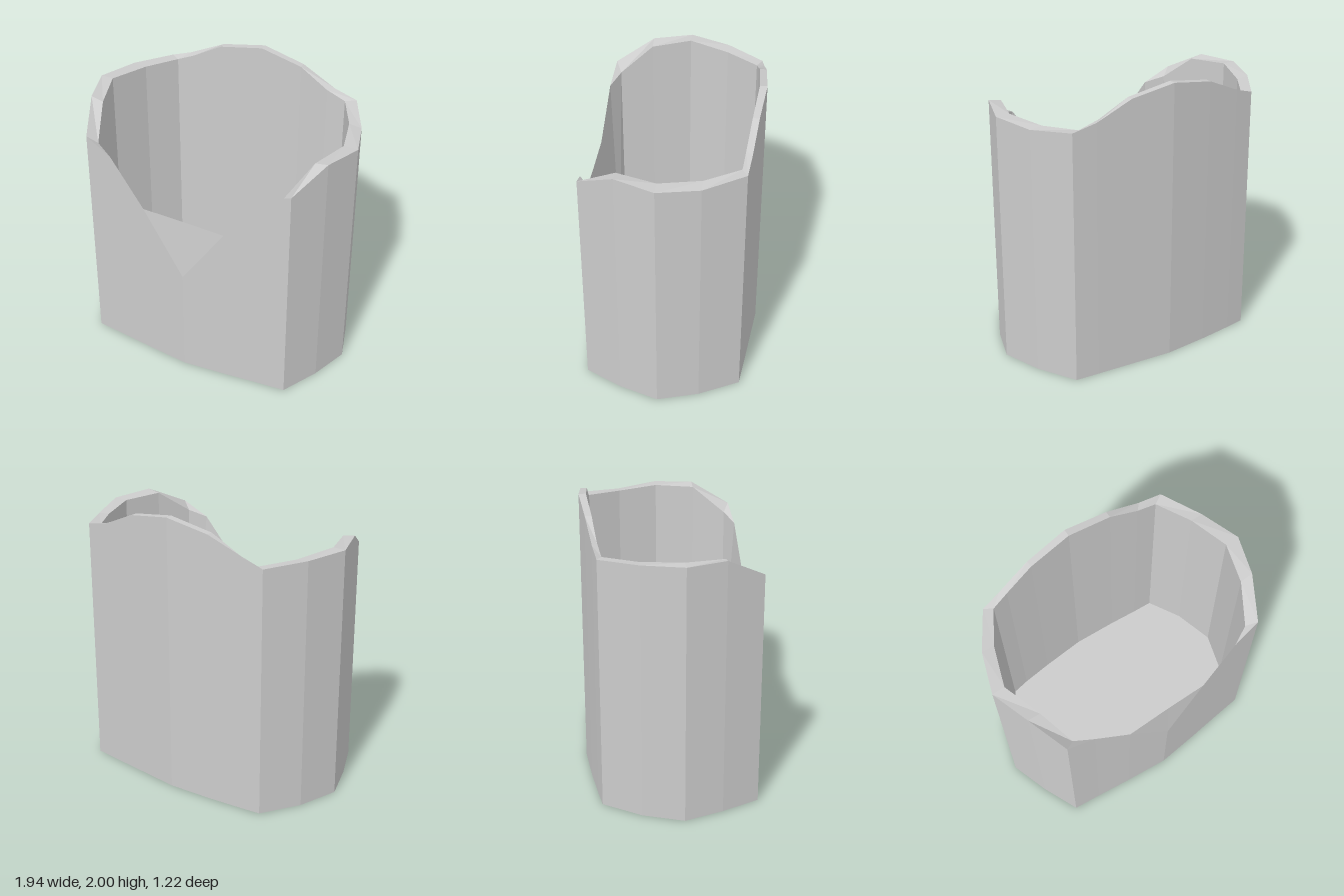
import * as THREE from 'three';

// Wall columns, from back centre clockwise seen from above:
// outer x, outer z, rim height, inner x, inner z, inner rim height
const COLUMNS = [
  [0, -0.61, 2.0, 0, -0.56, 2.0],
  [0.31, -0.585, 1.945, 0.31, -0.54, 1.945],
  [0.56, -0.565, 1.83, 0.52, -0.52, 1.83],
  [0.73, -0.55, 1.79, 0.66, -0.51, 1.785],
  [0.88, -0.28, 1.76, 0.79, -0.28, 1.77],
  [0.97, 0, 1.78, 0.87, 0, 1.78],
  [0.88, 0.27, 1.795, 0.79, 0.27, 1.78],
  [0.75, 0.53, 1.66, 0.68, 0.49, 1.61],
  [0.56, 0.55, 1.565, 0.54, 0.51, 1.565],
  [0.3, 0.58, 1.24, 0.3, 0.535, 1.24],
  [0, 0.61, 1.245, 0, 0.555, 1.245],
  [-0.31, 0.58, 1.25, -0.31, 0.535, 1.25],
  [-0.57, 0.55, 1.57, -0.55, 0.51, 1.57],
  [-0.765, 0.53, 1.665, -0.7, 0.49, 1.61],
  [-0.88, 0.27, 1.81, -0.79, 0.27, 1.79],
  [-0.97, 0, 1.81, -0.88, 0, 1.81],
  [-0.87, -0.28, 1.8, -0.78, -0.28, 1.79],
  [-0.7, -0.535, 1.785, -0.64, -0.5, 1.78],
  [-0.56, -0.555, 1.83, -0.52, -0.52, 1.83],
  [-0.31, -0.585, 1.945, -0.31, -0.54, 1.945],
];
const LIP = 10; // front centre column
const FLOOR_Y = 0.06;
const material = new THREE.MeshStandardMaterial({ color: 0xcccccc, flatShading: true });

function meshFrom(name, triangles) {
  const solid = triangles.filter(([a, b, c]) => new THREE.Triangle(a, b, c).getArea() > 1e-7);
  const geometry = new THREE.BufferGeometry().setFromPoints(solid.flat());
  geometry.computeVertexNormals();
  const mesh = new THREE.Mesh(geometry, material);
  mesh.name = name;
  return mesh;
}

// Strip between two rings, facing outward when lower comes first
function band(lower, upper) {
  const triangles = [];
  lower.forEach((a, i) => {
    const j = (i + 1) % lower.length;
    const b = lower[j], c = upper[i], d = upper[j];
    if (i === LIP) triangles.push([b, a, d], [a, c, d]);
    else triangles.push([b, a, c], [b, c, d]);
  });
  return triangles;
}

function cap(ring, up) {
  const centre = new THREE.Vector3(0, ring[0].y, 0);
  return ring.map((p, i) => {
    const q = ring[(i + 1) % ring.length];
    return up ? [centre, q, p] : [centre, p, q];
  });
}

export function createModel() {
  const V = (x, y, z) => new THREE.Vector3(x, y, z);
  const base = COLUMNS.map(([x, z]) => V(x, 0, z));
  const middle = COLUMNS.map(([x, z]) => V(x, 0.8, z));
  // The front lip leans back to a straight edge
  const outerRim = COLUMNS.map(([x, z, y], i) => V(x, y, i === LIP ? 0.577 : z));
  // Across the front notch the inner wall meets the outer one in a thin edge
  const innerRim = COLUMNS.map(([, , , x, z, y], i) =>
    Math.abs(i - LIP) <= 2 ? outerRim[i].clone() : V(x, y, z));
  const floor = COLUMNS.map(([, , , x, z]) => V(x, FLOOR_Y, z));

  const group = new THREE.Group();
  group.name = 'container';
  group.add(
    meshFrom('outerWall', [...band(base, middle), ...band(middle, outerRim)]),
    meshFrom('rim', band(outerRim, innerRim)),
    meshFrom('innerWall', band(innerRim, floor)),
    meshFrom('floor', cap(floor, true)),
    meshFrom('base', cap(base, false)),
  );
  return group;
}
